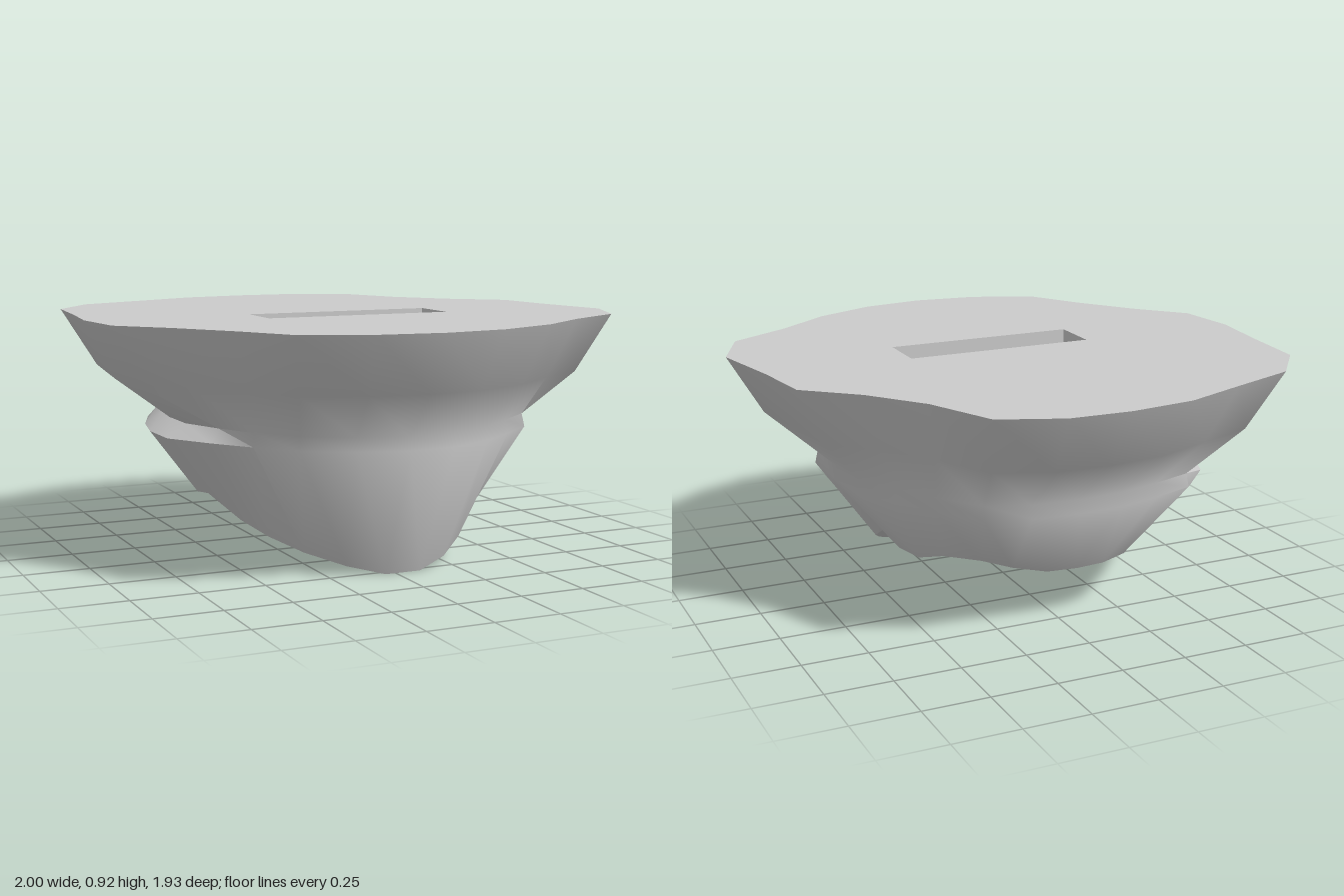
import * as THREE from 'three';
import { toCreasedNormals } from 'three/addons/utils/BufferGeometryUtils.js';

const TOP = 0.92;

// Outlines as [x, z], running from the front round through +x
const rim = [
  [-0.03, 0.965], [0.21, 0.935], [0.45, 0.835], [0.66, 0.68], [0.9, 0.545], [1, 0.31],
  [0.935, 0], [0.9, -0.25], [0.71, -0.41], [0.55, -0.61], [0.43, -0.87], [0.2, -0.96],
  [-0.03, -0.97], [-0.28, -0.94], [-0.53, -0.84], [-0.79, -0.74], [-0.945, -0.54], [-0.97, -0.25],
  [-1, 0], [-0.97, 0.25], [-0.81, 0.42], [-0.65, 0.63], [-0.52, 0.835], [-0.28, 0.935],
];
const foot = [
  [-0.04, 0.53], [0.1, 0.53], [0.23, 0.47], [0.34, 0.38], [0.42, 0.28], [0.47, 0.18],
  [0.5, 0.02], [0.49, -0.13], [0.46, -0.26], [0.41, -0.38], [0.3, -0.47], [0.19, -0.505],
  [0.06, -0.525], [-0.06, -0.53], [-0.17, -0.525], [-0.27, -0.5], [-0.4, -0.38], [-0.49, -0.26],
  [-0.53, -0.13], [-0.54, 0.02], [-0.47, 0.18], [-0.4, 0.28], [-0.3, 0.38], [-0.17, 0.47],
];
const N = rim.length;

// Underside profile as [z, y]: front slope, shallow hollow, back lip
const underside = [[0.53, 0], [0.02, 0.25], [-0.13, 0.23], [-0.26, 0.23], [-0.38, 0.27], [-0.53, 0.2]];

function undersideY(x, z) {
  const i = underside.findIndex(([zi], k) => k > 0 && z >= zi);
  const [z0, y0] = underside[i - 1], [z1, y1] = underside[i];
  const lift = z < -0.38 ? 0.15 * Math.max(0, x - 0.05) : 0; // the lip fades out toward +x
  return THREE.MathUtils.mapLinear(z, z0, z1, y0, y1) + lift;
}

function meshOf(name, geometry, side = THREE.FrontSide) {
  const mesh = new THREE.Mesh(geometry, new THREE.MeshStandardMaterial({ color: 0xcccccc, side }));
  mesh.name = name;
  return mesh;
}

function indexedGeometry(points, index, crease) {
  const geometry = new THREE.BufferGeometry();
  geometry.setAttribute('position', new THREE.Float32BufferAttribute(points.flat(), 3));
  geometry.setIndex(index);
  return toCreasedNormals(geometry, crease);
}

// Flared rocky wall, with a small ledge that juts out on the -x side
function wallGeometry() {
  const waist = rim.map(([x, z], i) => [
    0.365 * x + 0.69 * foot[i][0],
    0.365 * z + 0.69 * foot[i][1],
  ]);
  const rings = [
    rim.map(([x, z]) => [x, TOP, z]),
    rim.map(([x, z], i) => [0.7 * x + 0.25 * waist[i][0], 0.7, 0.7 * z + 0.25 * waist[i][1]]),
    waist.map(([x, z]) => {
      const k = 0.985 - 0.09 * THREE.MathUtils.smoothstep(-x, 0.5, 0.75);
      return [x * k, 0.535, z * k];
    }),
    waist.map(([x, z]) => [x, 0.485, z]),
    foot.map(([x, z]) => [x, undersideY(x, z), z]),
  ];
  const index = [];
  for (let r = 0; r < rings.length - 1; r++) {
    for (let i = 0; i < N; i++) {
      const j = (i + 1) % N, a = r * N, b = a + N;
      index.push(a + i, b + i, b + j, a + i, b + j, a + j);
    }
  }
  return indexedGeometry(rings.flat(), index, 1.1);
}

// Creased underside, zipped across between the two halves of the foot outline
function undersideGeometry() {
  const points = foot.map(([x, z]) => [x, undersideY(x, z), z]);
  const index = [];
  for (let i = 1; i < 12; i++) {
    const left = (N + 1 - i) % N, nextLeft = N - i;
    index.push(left, nextLeft, i + 1, left, i + 1, i);
  }
  return indexedGeometry(points, index, 0.4);
}

export function createModel() {
  const group = new THREE.Group();
  group.name = 'slottedRockBase';

  const x0 = -0.36, x1 = 0.375, z0 = 0, z1 = 0.2, depth = 0.4;

  // Flat top with the slot opening
  const face = new THREE.Shape(rim.map(([x, z]) => new THREE.Vector2(x, -z)));
  face.holes.push(new THREE.Path([
    new THREE.Vector2(x0, -z0), new THREE.Vector2(x1, -z0),
    new THREE.Vector2(x1, -z1), new THREE.Vector2(x0, -z1),
  ]));
  const top = new THREE.ShapeGeometry(face).rotateX(-Math.PI / 2).translate(0, TOP, 0);

  // Slot interior, seen from inside
  const pocket = new THREE.BoxGeometry(x1 - x0, depth, z1 - z0)
    .translate((x0 + x1) / 2, TOP - depth / 2, (z0 + z1) / 2);

  group.add(
    meshOf('topFace', top),
    meshOf('slot', pocket, THREE.BackSide),
    meshOf('rockWall', wallGeometry()),
    meshOf('underside', undersideGeometry()),
  );
  return group;
}
